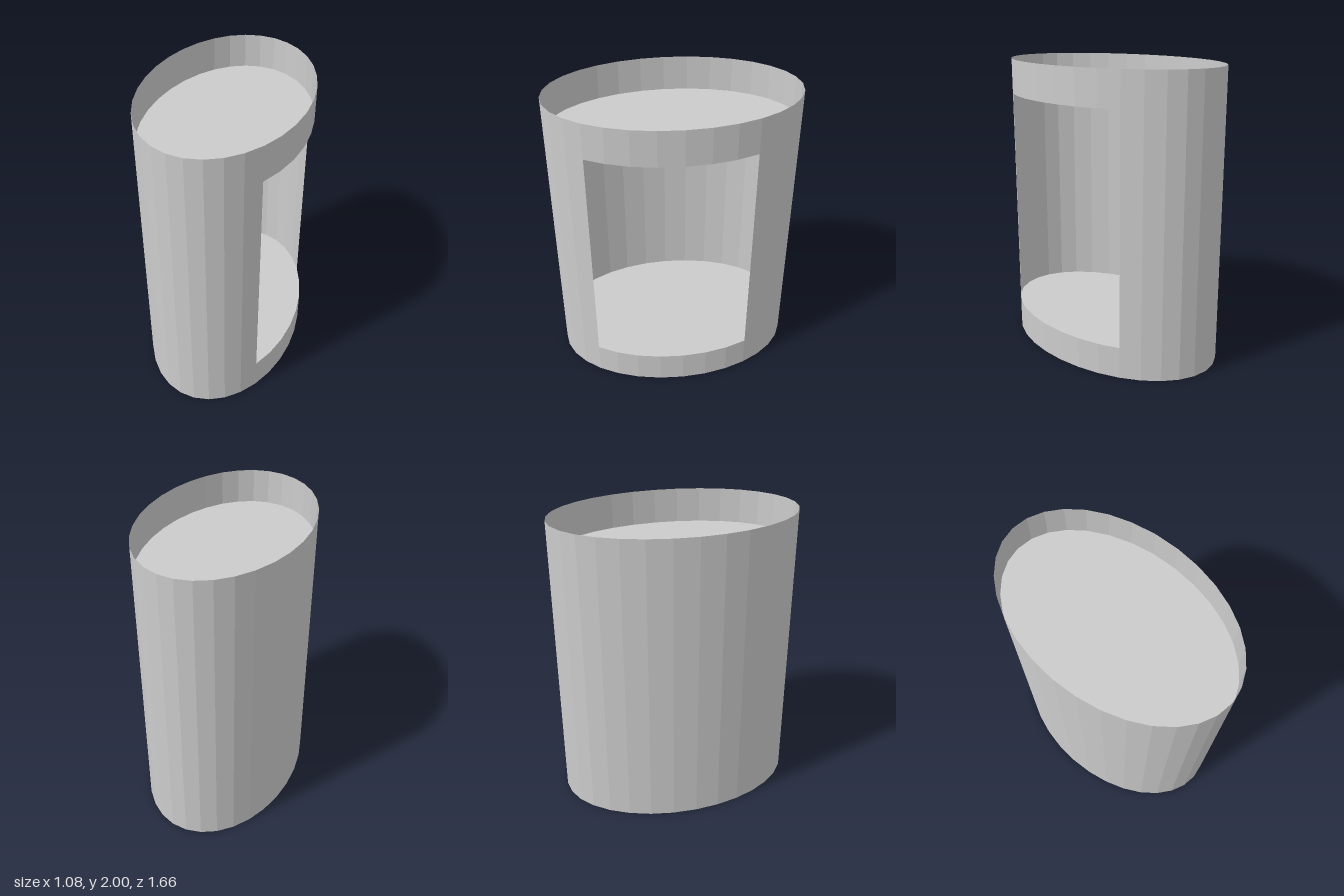
import * as THREE from 'three';

const RX = 0.542, RZ = 0.83;      // half axes of the oval plan
const SIDES = 32;
const STEP = (Math.PI * 2) / SIDES;
const HEIGHT = 2, FLOOR = 0.215, CEILING = 1.763;
const OPEN_FROM = 4, OPEN_TO = 11; // facets left out for the opening on the +x side

export function createModel() {
  const group = new THREE.Group();
  const material = new THREE.MeshStandardMaterial({
    color: 0xcccccc, flatShading: true, side: THREE.DoubleSide,
  });

  function add(name, geometry, y) {
    const mesh = new THREE.Mesh(geometry.scale(RX, 1, RZ), material);
    mesh.name = name;
    mesh.position.y = y;
    group.add(mesh);
  }

  // Thin oval wall between two heights, from one facet to another
  function wall(name, y0, y1, first = 0, count = SIDES) {
    const geometry = new THREE.CylinderGeometry(
      1, 1, y1 - y0, count, 1, true, first * STEP, count * STEP);
    add(name, geometry, (y0 + y1) / 2);
  }

  // Flat oval plate
  function plate(name, y) {
    add(name, new THREE.CircleGeometry(1, SIDES).rotateX(-Math.PI / 2), y);
  }

  // Closed bands below and above the opening
  wall('bottomBand', 0, FLOOR);
  wall('topBand', CEILING, HEIGHT);

  // Main wall, wrapping round from one edge of the opening to the other
  wall('mainWall', FLOOR, CEILING, OPEN_TO, SIDES - (OPEN_TO - OPEN_FROM));

  // Recessed plates level with the opening's lower and upper edges
  plate('floorPlate', FLOOR);
  plate('ceilingPlate', CEILING);

  return group;
}
